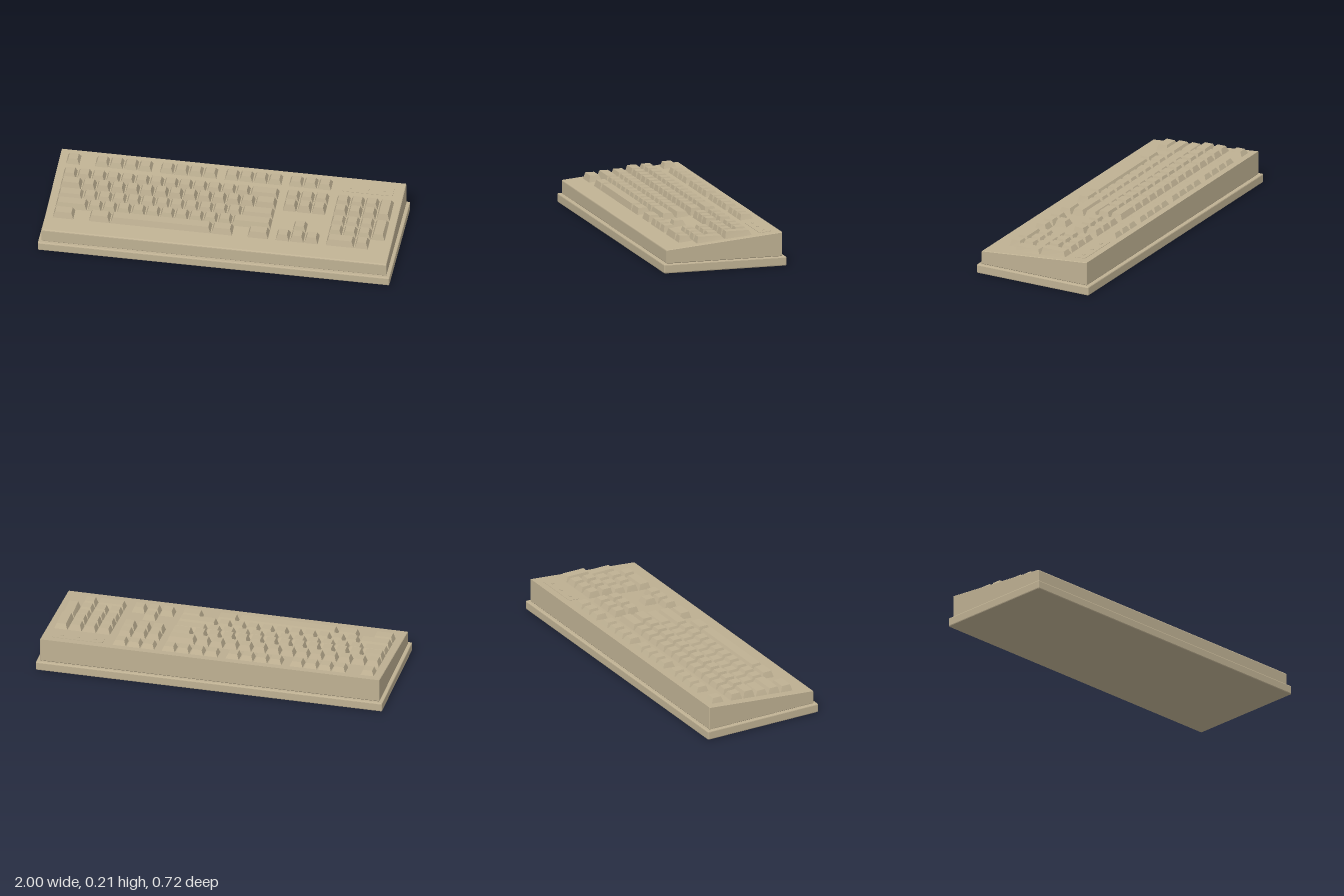
import * as THREE from 'three';

const beige = new THREE.MeshStandardMaterial({ color: 0xbfb193 });
beige.name = 'beige plastic';

const U = 0.082;   // key pitch
const X0 = -0.939; // left edge of the key field
const GAP = 0.005;
// centre and top height of each key row, back to front
const ROWS = [
  { z: -0.26, top: 0.212 }, { z: -0.137, top: 0.206 }, { z: -0.055, top: 0.203 },
  { z: 0.027, top: 0.187 }, { z: 0.109, top: 0.183 }, { z: 0.191, top: 0.177 },
];
// height of the sloping top face
const deckY = z => 0.13 + (0.34 - z) * 0.0882;

function mesh(geometry, name) {
  const m = new THREE.Mesh(geometry, beige);
  m.name = name;
  return m;
}

// Tapered keycap whose foot follows the sloping deck
function keycap(x, z, w, d, top) {
  const g = new THREE.BoxGeometry(w, 1, d);
  const p = g.attributes.position;
  for (let i = 0; i < p.count; i++) {
    const sx = Math.sign(p.getX(i)), sz = Math.sign(p.getZ(i));
    const zz = z + sz * d / 2;
    if (p.getY(i) > 0) {
      p.setXYZ(i, x + sx * (w / 2 - 0.013), top, zz - sz * (sz > 0 ? 0.01 : 0.016));
    } else {
      p.setXYZ(i, x + sx * w / 2, deckY(zz) - 0.002, zz);
    }
  }
  g.computeVertexNormals();
  return mesh(g, 'key');
}

// One run of keys; start and widths are in key units, span is the rows covered
function keyRun(group, row, start, widths, span = 1) {
  let u = start;
  const last = ROWS[row + span - 1];
  for (const w of widths) {
    group.add(keycap(X0 + (u + w / 2) * U, (ROWS[row].z + last.z) / 2,
      w * U - GAP, span * U - GAP, last.top));
    u += w;
  }
}

const ones = n => Array(n).fill(1);

function section(name, runs) {
  const g = new THREE.Group();
  g.name = name;
  runs.forEach(r => keyRun(g, ...r));
  return g;
}

// Rectangle with rounded corners
function roundedRect(w, h, r) {
  const s = new THREE.Shape();
  const x = w / 2, y = h / 2;
  s.moveTo(-x + r, -y);
  s.lineTo(x - r, -y);
  s.quadraticCurveTo(x, -y, x, -y + r);
  s.lineTo(x, y - r);
  s.quadraticCurveTo(x, y, x - r, y);
  s.lineTo(-x + r, y);
  s.quadraticCurveTo(-x, y, -x, y - r);
  s.lineTo(-x, -y + r);
  s.quadraticCurveTo(-x, -y, -x + r, -y);
  return s;
}

// Flat bottom tray with bevelled rims
function baseTray() {
  const b = 0.006;
  const g = new THREE.ExtrudeGeometry(roundedRect(2, 0.72, 0.008), {
    depth: 0.052 - 2 * b, bevelThickness: b, bevelSize: b, bevelOffset: -b,
    bevelSegments: 2, curveSegments: 3,
  });
  g.rotateX(-Math.PI / 2);
  g.translate(0, b, 0);
  return mesh(g, 'baseTray');
}

// Wedge housing: side profile swept across the width
function housing() {
  const s = new THREE.Shape();
  s.moveTo(-0.335, 0.052);
  s.lineTo(0.337, 0.052);
  s.lineTo(0.34, 0.056);
  s.lineTo(0.34, deckY(-0.34));
  s.lineTo(-0.332, deckY(0.332));
  s.quadraticCurveTo(-0.34, 0.13, -0.34, 0.122);
  s.lineTo(-0.34, 0.057);
  s.quadraticCurveTo(-0.34, 0.052, -0.335, 0.052);
  const b = 0.003, depth = 1.96 - 2 * b;
  const g = new THREE.ExtrudeGeometry(s, {
    depth, bevelThickness: b, bevelSize: b, bevelOffset: -b,
    bevelSegments: 1, curveSegments: 4,
  });
  g.translate(0, 0, -depth / 2);
  g.rotateY(Math.PI / 2);
  return mesh(g, 'housing');
}

// Indicator plate with three small lamps, tilted with the deck
function indicatorPanel() {
  const panel = new THREE.Group();
  panel.name = 'indicatorPanel';
  const plate = new THREE.ExtrudeGeometry(roundedRect(0.29, 0.07, 0.012),
    { depth: 0.003, bevelEnabled: false, curveSegments: 3 });
  plate.rotateX(-Math.PI / 2);
  panel.add(mesh(plate, 'indicatorPlate'));
  for (const x of [-0.096, 0, 0.096]) {
    const lamp = mesh(new THREE.BoxGeometry(0.014, 0.006, 0.014), 'indicatorLamp');
    lamp.position.set(x, 0.003, 0);
    panel.add(lamp);
  }
  panel.position.set(0.776, deckY(-0.26) - 0.001, -0.26);
  panel.rotation.x = Math.atan(0.0882);
  return panel;
}

export function createModel() {
  const model = new THREE.Group();
  model.name = 'keyboard';
  model.add(baseTray(), housing(), indicatorPanel());

  model.add(section('functionKeys', [
    [0, 0, [1]], [0, 2, ones(4)], [0, 6.5, ones(4)], [0, 11, ones(4)],
  ]));
  model.add(section('mainKeys', [
    [1, 0, [...ones(13), 2]],
    [2, 0, [1.5, ...ones(12), 1.5]],
    [3, 0, [1.75, ...ones(11), 2.25]],
    [4, 0, [2.25, ...ones(10), 2.75]],
    [5, 0, [1.5]], [5, 2.5, [1.5, 7, 1.5]], [5, 13.5, [1.5]],
  ]));
  const nav = 15.45;
  model.add(section('navigationKeys', [
    [0, nav, ones(3)], [1, nav, ones(3)], [2, nav, ones(3)],
  ]));
  model.add(section('arrowKeys', [[4, nav + 1, [1]], [5, nav, ones(3)]]));
  const pad = 18.93;
  model.add(section('numberPad', [
    [1, pad, ones(3)], [2, pad, ones(3)], [3, pad, ones(3)], [4, pad, ones(3)],
    [5, pad, [2, 1]], [1, pad + 3, [1], 2], [3, pad + 3, [1], 2],
  ]));
  return model;
}
